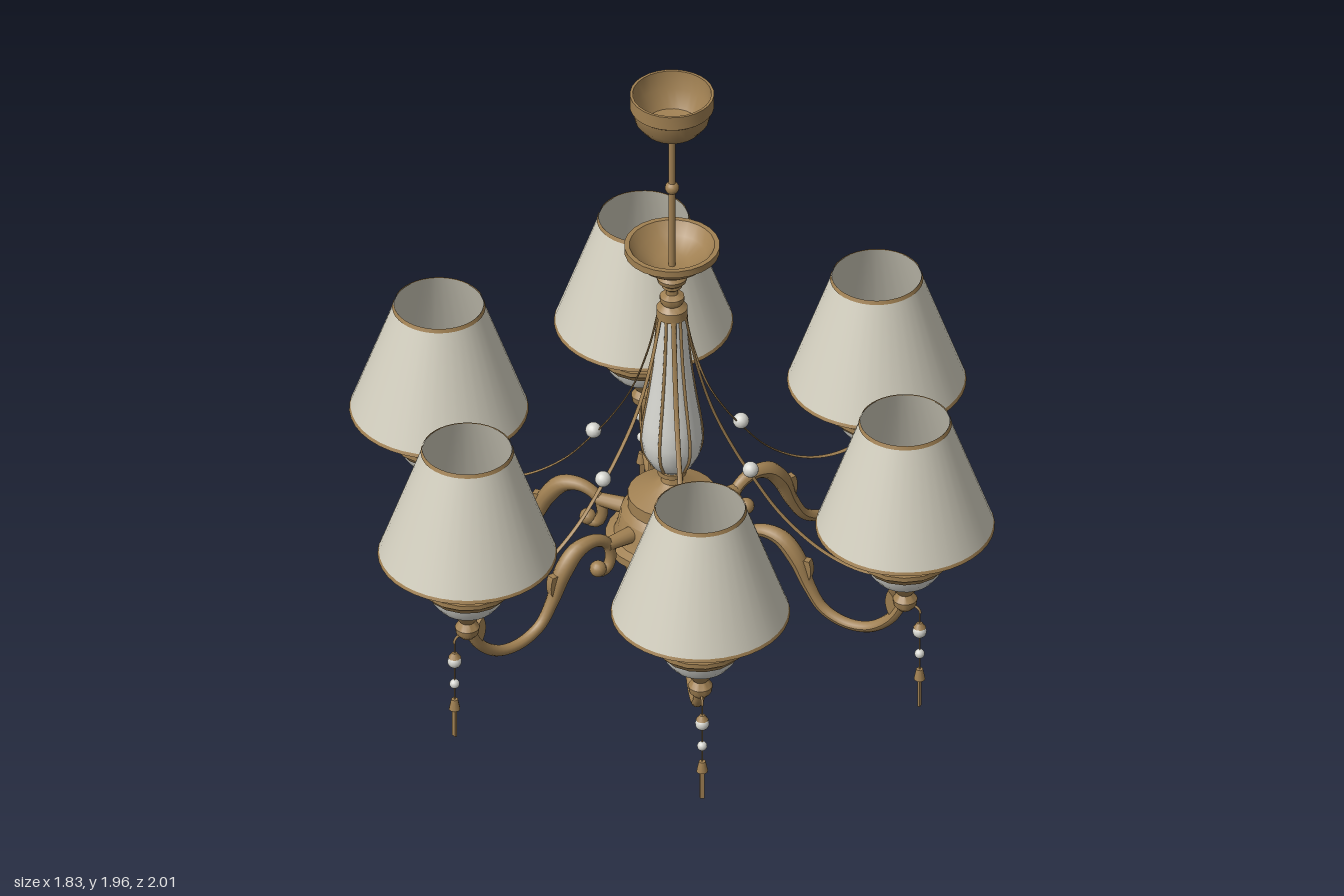
import * as THREE from 'three';
import { toCreasedNormals } from 'three/addons/utils/BufferGeometryUtils.js';

const material = (name, color) => {
  const m = new THREE.MeshStandardMaterial({ color, side: THREE.DoubleSide });
  m.name = name;
  return m;
};
const V = (x, y) => new THREE.Vector3(x, y, 0);

export function createModel() {
  const brass = material('antique brass', 0xa08052);
  const fabric = material('shade fabric', 0xd3cfbf);
  const porcelain = material('porcelain', 0xd6d6d0);

  const add = (parent, name, geo, mat, x = 0, y = 0, z = 0) => {
    const mesh = new THREE.Mesh(geo, mat);
    mesh.name = name;
    mesh.position.set(x, y, z);
    parent.add(mesh);
    return mesh;
  };
  // profile points are [radius, height], bottom to top
  const lathe = (pts, sides = 24) => toCreasedNormals(
    new THREE.LatheGeometry(pts.map(p => new THREE.Vector2(...p)), sides), 0.6);
  const ball = r => new THREE.SphereGeometry(r, 14, 10);

  // tube along a flat path, with radius varying along its length
  const taperedTube = (pts, radius, segs = 60, sides = 10) => {
    const path = new THREE.CatmullRomCurve3(pts.map(p => V(...p)));
    const geo = new THREE.TubeGeometry(path, segs, 1, sides);
    const pos = geo.attributes.position, v = new THREE.Vector3();
    for (let i = 0; i <= segs; i++) {
      const c = path.getPointAt(i / segs), r = radius(i / segs);
      for (let j = 0; j <= sides; j++) {
        const k = i * (sides + 1) + j;
        v.fromBufferAttribute(pos, k).sub(c).multiplyScalar(r).add(c);
        pos.setXYZ(k, v.x, v.y, v.z);
      }
    }
    geo.computeVertexNormals();
    return geo;
  };

  const root = new THREE.Group();
  root.name = 'chandelier';

  // ceiling cup, rod and upper dish
  add(root, 'ceilingCup', lathe([[0.008, 1.815], [0.05, 1.82], [0.085, 1.84], [0.108, 1.87], [0.117, 1.91],
    [0.123, 1.915], [0.123, 1.96], [0.115, 1.96], [0.11, 1.9], [0.08, 1.85], [0.008, 1.835]], 28), brass);
  add(root, 'rod', new THREE.CylinderGeometry(0.011, 0.011, 0.55, 12), brass, 0, 1.59);
  add(root, 'rodKnob', ball(0.021), brass, 0, 1.625);
  add(root, 'upperDish', lathe([[0.025, 1.32], [0.06, 1.335], [0.1, 1.365], [0.125, 1.395], [0.14, 1.4],
    [0.14, 1.422], [0.125, 1.422], [0.1, 1.385], [0.05, 1.355], [0.01, 1.35]]), brass);
  add(root, 'neck', lathe([[0.046, 1.17], [0.046, 1.2], [0.03, 1.215], [0.036, 1.225], [0.036, 1.24], [0.018, 1.25],
    [0.018, 1.265], [0.03, 1.275], [0.03, 1.285], [0.042, 1.295], [0.046, 1.31], [0.035, 1.325], [0.01, 1.33]]), brass);

  // porcelain column with brass ribs
  const columnProfile = [[0.035, 0.625], [0.06, 0.645], [0.083, 0.69], [0.09, 0.74], [0.084, 0.8],
    [0.068, 0.9], [0.055, 1.0], [0.046, 1.1], [0.041, 1.18]];
  add(root, 'column', lathe(columnProfile), porcelain);
  for (let i = 0; i < 6; i++) {
    const rib = add(root, 'columnRib', taperedTube(columnProfile.slice(1), () => 0.005, 24, 6), brass);
    rib.rotation.y = i * Math.PI / 3 - 0.035;
  }

  // central body and finial
  add(root, 'centralBody', lathe([[0, 0.085], [0.02, 0.09], [0.03, 0.105], [0.03, 0.12], [0.014, 0.132],
    [0.014, 0.145], [0.028, 0.155], [0.03, 0.175], [0.02, 0.19], [0.03, 0.2], [0.045, 0.22], [0.07, 0.235],
    [0.115, 0.27], [0.145, 0.305], [0.16, 0.34], [0.165, 0.355], [0.195, 0.37], [0.195, 0.395], [0.17, 0.405],
    [0.16, 0.43], [0.15, 0.48], [0.13, 0.5], [0.13, 0.54], [0.09, 0.555], [0.055, 0.57], [0.032, 0.585],
    [0.028, 0.6], [0.042, 0.61], [0.042, 0.625], [0, 0.635]]), brass);

  // one full arm built along +x, repeated six times
  const scroll = taperedTube([[0.275, 0.385], [0.26, 0.365], [0.235, 0.37], [0.222, 0.405], [0.235, 0.455],
    [0.285, 0.484], [0.345, 0.475], [0.395, 0.42], [0.435, 0.33], [0.48, 0.262], [0.55, 0.23], [0.625, 0.235],
    [0.69, 0.28], [0.73, 0.345], [0.74, 0.39]], t => 0.017 + 0.011 * Math.exp(-(((t - 0.36) / 0.12) ** 2)));
  const cup = lathe([[0.02, 0.335], [0.033, 0.35], [0.036, 0.37], [0.022, 0.39], [0.03, 0.4], [0.05, 0.43]]);
  const bowl = lathe([[0.05, 0.43], [0.085, 0.45], [0.105, 0.475], [0.113, 0.502]]);
  const bowlRim = lathe([[0.112, 0.498], [0.118, 0.498], [0.135, 0.522], [0.142, 0.525], [0.142, 0.54],
    [0.13, 0.54], [0.1, 0.525], [0.04, 0.52]], 16);
  const shade = new THREE.CylinderGeometry(0.13, 0.26, 0.367, 40, 1, true);
  const trim = (r0, r1, h) => new THREE.CylinderGeometry(r1, r0, h, 40, 1, true);
  const chain = taperedTube([[0.042, 1.18], [0.075, 1.03], [0.13, 0.87], [0.2, 0.745], [0.25, 0.675], [0.34, 0.565],
    [0.45, 0.48], [0.55, 0.438], [0.64, 0.428], [0.71, 0.445]], () => 0.0025, 60, 6);
  const leafShape = new THREE.Shape();
  leafShape.moveTo(0, 0);
  leafShape.quadraticCurveTo(0.035, 0.03, 0.03, 0.085);
  leafShape.quadraticCurveTo(-0.015, 0.06, -0.02, 0.01);
  const leaf = new THREE.ExtrudeGeometry(leafShape, { depth: 0.024, bevelEnabled: false });
  leaf.translate(0, 0, -0.012);

  for (let i = 0; i < 6; i++) {
    const arm = new THREE.Group();
    arm.name = 'arm' + (i + 1);
    arm.rotation.y = Math.PI / 6 + i * Math.PI / 3 - 0.03;
    root.add(arm);

    add(arm, 'scrollArm', scroll, brass);
    add(arm, 'scrollEnd', ball(0.025), brass, 0.268, 0.378);
    add(arm, 'armSocket', new THREE.CylinderGeometry(0.02, 0.026, 0.1, 12), brass, 0.185, 0.45).rotation.z = -Math.PI / 2;
    add(arm, 'middleLeaf', leaf, brass, 0.418, 0.42).rotation.z = Math.PI + 0.45;
    add(arm, 'outerLeaf', leaf, brass, 0.72, 0.305).rotation.z = 0.65;

    // candle holder, bulb and lampshade
    const lamp = new THREE.Group();
    lamp.name = 'lamp';
    lamp.position.x = 0.742;
    arm.add(lamp);
    add(lamp, 'cup', cup, brass);
    add(lamp, 'bowl', bowl, porcelain);
    add(lamp, 'bowlRim', bowlRim, brass);
    add(lamp, 'candle', new THREE.CylinderGeometry(0.048, 0.048, 0.22, 20), brass, 0, 0.63);
    add(lamp, 'bulb', ball(0.05), porcelain, 0, 0.77);
    add(lamp, 'shade', shade, fabric, 0, 0.8185);
    add(lamp, 'shadeTopTrim', trim(0.1365, 0.132, 0.012), brass, 0, 0.998);
    add(lamp, 'shadeBottomTrim', trim(0.262, 0.258, 0.01), brass, 0, 0.637);

    // hanging chain, flattened into a ribbon, with its bead
    add(arm, 'chain', chain, brass).scale.z = 3;
    add(arm, 'chainBead', ball(0.024), porcelain, 0.25, 0.69);

    // beaded pendant with tassel
    const pendant = new THREE.Group();
    pendant.name = 'pendant';
    pendant.position.x = 0.788;
    arm.add(pendant);
    add(pendant, 'hook', new THREE.TorusGeometry(0.02, 0.004, 6, 14, Math.PI), brass, -0.018, 0.33);
    add(pendant, 'wire', new THREE.CylinderGeometry(0.002, 0.002, 0.24, 6), brass, 0, 0.22);
    add(pendant, 'upperBead', ball(0.021), porcelain, 0, 0.265);
    add(pendant, 'beadCap', new THREE.CylinderGeometry(0.008, 0.019, 0.016, 10), brass, 0, 0.287);
    add(pendant, 'lowerBead', ball(0.015), porcelain, 0, 0.185);
    add(pendant, 'tasselCap', new THREE.CylinderGeometry(0.01, 0.017, 0.035, 10), brass, 0, 0.113);
    add(pendant, 'tassel', new THREE.BoxGeometry(0.007, 0.1, 0.014), brass, 0, 0.05);
  }
  return root;
}
